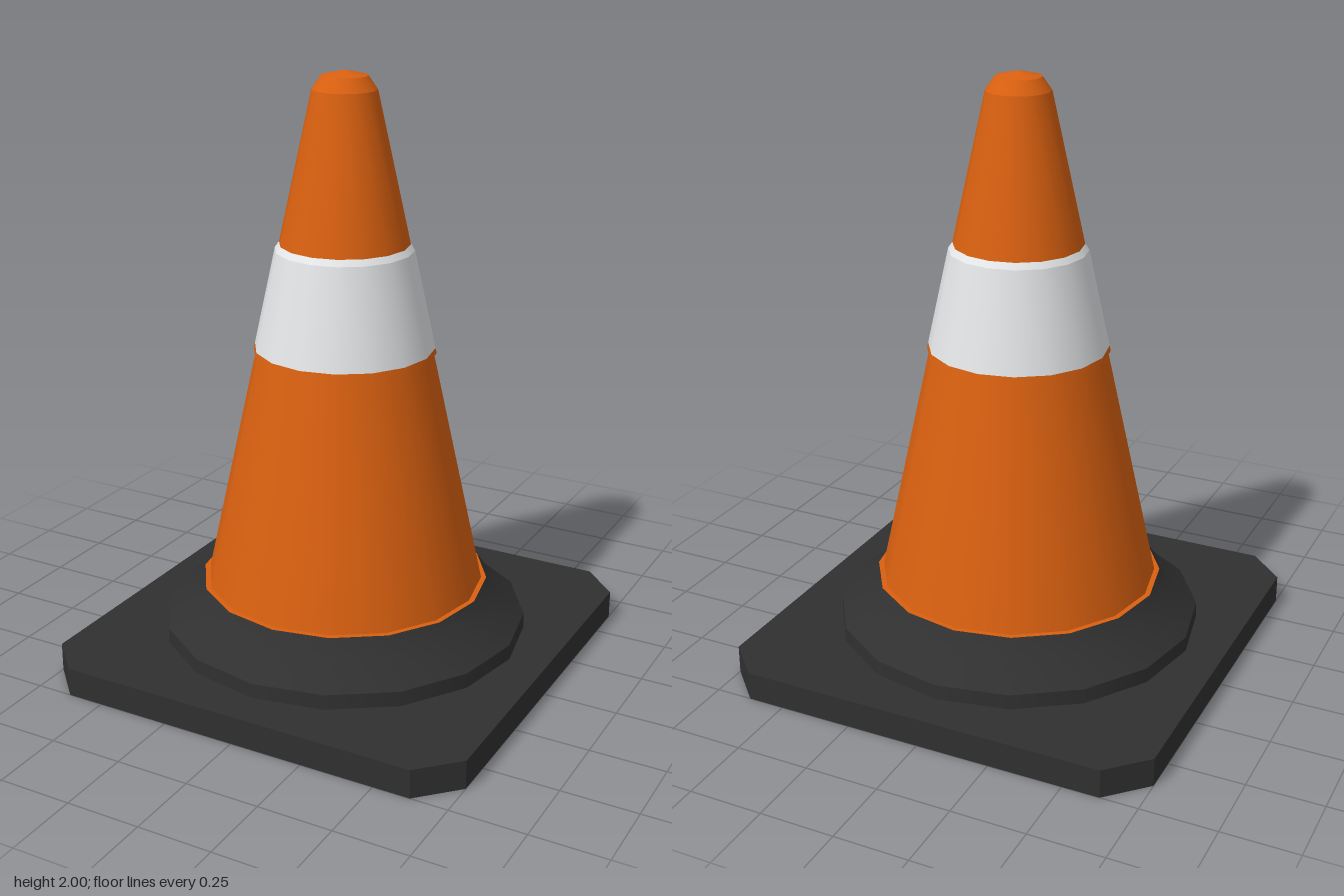
import * as THREE from 'three';

const SIDES = 16;

export function createModel() {
  const model = new THREE.Group();
  model.name = 'trafficCone';

  const paint = (name, color) => {
    const m = new THREE.MeshStandardMaterial({ color });
    m.name = name;
    return m;
  };
  const rubber = paint('blackRubber', 0x303030);
  const orange = paint('orangePlastic', 0xd96010);
  const white = paint('whiteBand', 0xe6e8ea);

  // One smooth surface of revolution per profile; profiles run [radius, height] upward,
  // and a new profile starts wherever there is a sharp edge.
  const turned = (name, material, ...profiles) => {
    const part = new THREE.Group();
    part.name = name;
    profiles.forEach((profile, i) => {
      const points = profile.map(([r, y]) => new THREE.Vector2(r, y));
      const mesh = new THREE.Mesh(new THREE.LatheGeometry(points, SIDES), material);
      mesh.name = `${name}Surface${i + 1}`;
      part.add(mesh);
    });
    model.add(part);
  };

  // Square foot plate with cut corners
  const h = 0.75, c = 0.625;
  const outline = new THREE.Shape(
    [[-c, -h], [c, -h], [h, -c], [h, c], [c, h], [-c, h], [-h, c], [-h, -c]]
      .map(([x, y]) => new THREE.Vector2(x, y)));
  const plate = new THREE.ExtrudeGeometry(outline, { depth: 0.097, bevelEnabled: false });
  plate.rotateX(-Math.PI / 2);
  const foot = new THREE.Mesh(plate, rubber);
  foot.name = 'footPlate';
  model.add(foot);

  // Flared collar
  turned('collar', rubber,
    [[0.622, 0.097], [0.62, 0.147]],
    [[0.62, 0.147], [0.528, 0.22], [0.488, 0.277]]);

  // Lower cone: flat seat ring, tapering wall, small lip under the band
  turned('lowerCone', orange,
    [[0.488, 0.277], [0.47, 0.277]],
    [[0.47, 0.277], [0.294, 1.08]],
    [[0.294, 1.08], [0.303, 1.08]],
    [[0.303, 1.08], [0.299, 1.098]]);

  // Reflective band with a bevelled upper edge
  turned('reflectiveBand', white,
    [[0.299, 1.098], [0.228, 1.425]],
    [[0.228, 1.425], [0.214, 1.445]]);

  // Upper cone with rounded shoulder, then the shallow cap
  turned('upperCone', orange,
    [[0.214, 1.445], [0.105, 1.94]],
    [[0.105, 1.94], [0.075, 1.983]],
    [[0.075, 1.983], [0, 2]]);

  return model;
}
